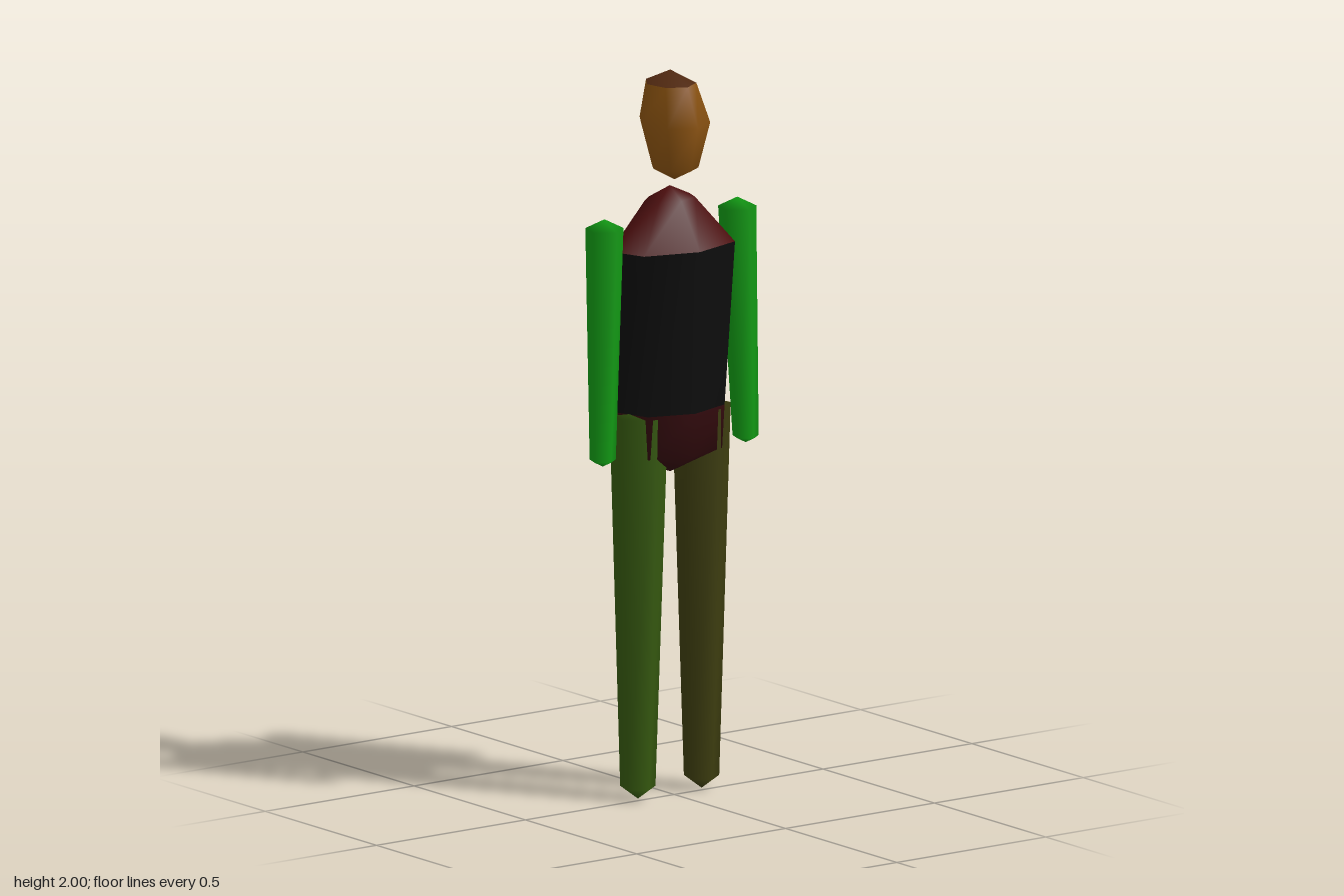
import * as THREE from 'three';
import { mergeVertices } from 'three/addons/utils/BufferGeometryUtils.js';

// Lofts an n-sided skin through sections listed bottom to top: [y, cx, cz, rx, rz].
// A zero radius closes the skin to a point.
function loft(name, sides, color, sections) {
  const pos = [];
  const index = [];
  for (const [y, cx, cz, rx, rz] of sections) {
    for (let j = 0; j < sides; j++) {
      const a = (j / sides) * Math.PI * 2;
      pos.push(cx + rx * Math.cos(a), y, cz + rz * Math.sin(a));
    }
  }
  for (let i = 0; i < sections.length - 1; i++) {
    for (let j = 0; j < sides; j++) {
      const k = (j + 1) % sides;
      const a = i * sides + j, b = i * sides + k;
      const c = a + sides, d = b + sides;
      if (sections[i][3] > 0) index.push(a, c, b);
      if (sections[i + 1][3] > 0) index.push(b, c, d);
    }
  }
  let geo = new THREE.BufferGeometry();
  geo.setAttribute('position', new THREE.Float32BufferAttribute(pos, 3));
  geo.setIndex(index);
  geo = mergeVertices(geo);
  geo.computeVertexNormals();
  const mesh = new THREE.Mesh(geo, new THREE.MeshStandardMaterial({ color }));
  mesh.name = name;
  return mesh;
}

export function createModel() {
  const model = new THREE.Group();
  model.name = 'figure';

  // Head with a darker, shallow crown
  const brow = [1.965, -0.018, 0, 0.078, 0.066];
  model.add(
    loft('head', 7, 0x8a5210, [
      [1.7, 0, 0, 0, 0],
      [1.735, 0, 0, 0.074, 0.06],
      [1.86, -0.003, 0, 0.11, 0.092],
      brow,
    ]),
    loft('crown', 7, 0x4f2810, [brow, [2, -0.018, 0, 0, 0]]),
  );

  // Torso: hips, trunk and shoulders share their border sections
  const waist = [1.07, -0.016, 0, 0.112, 0.165];
  const chest = [1.52, -0.007, 0, 0.122, 0.195];
  model.add(
    loft('hips', 7, 0x330a0d, [
      [0.89, -0.018, 0, 0, 0],
      [0.95, -0.018, 0, 0.109, 0.158],
      waist,
    ]),
    loft('trunk', 7, 0x0d0d0d, [waist, chest]),
    loft('shoulders', 7, 0x4a0c0c, [
      chest,
      [1.645, -0.02, 0, 0.053, 0.078],
      [1.68, -0.02, 0, 0, 0],
    ]),
  );

  // Arms and legs, one pair on each side of the torso
  for (const s of [1, -1]) {
    const side = s > 0 ? 'Near' : 'Far';
    model.add(
      loft('arm' + side, 5, 0x129a14, [
        [0.94, 0, s * 0.24, 0, 0],
        [0.957, 0, s * 0.24, 0.037, 0.037],
        [1.59, -0.015, s * 0.223, 0.054, 0.054],
        [1.618, -0.015, s * 0.223, 0, 0],
      ]),
      loft('leg' + side, 5, s > 0 ? 0x35580f : 0x3d3d0f, [
        [0, -0.02, s * 0.107, 0, 0],
        [0.032, -0.02, s * 0.107, 0.05, 0.05],
        [1.06, -0.018, s * 0.105, 0.083, 0.083],
        [1.085, -0.018, s * 0.105, 0, 0],
      ]),
    );
  }
  return model;
}
